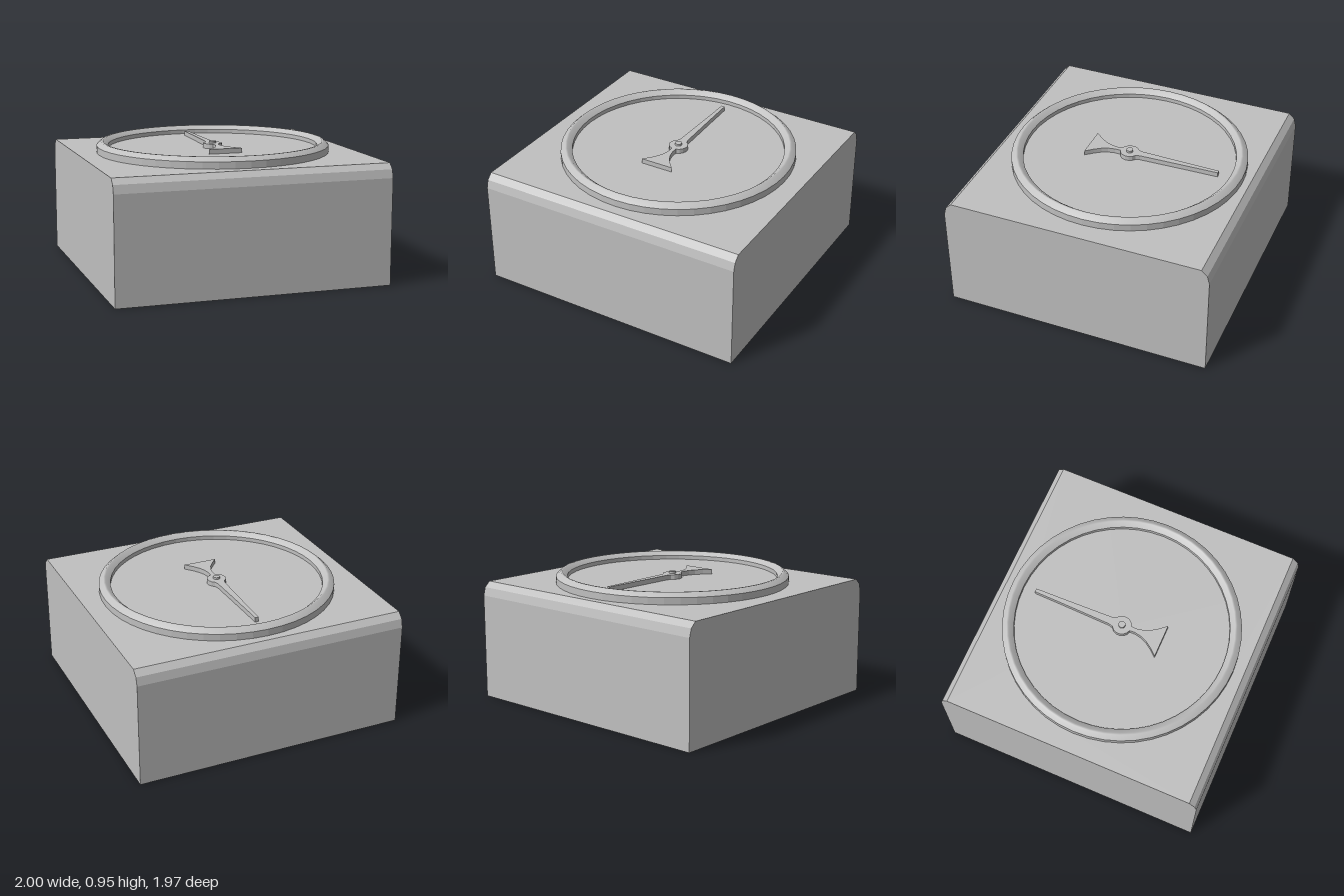
import * as THREE from 'three';

const TOP = 0.87;      // height of the case top
const DIAL = 0.89;     // height of the dial plate
const DEPTH = 0.983;   // half depth of the case
const R_OUT = 0.86, R_IN = 0.775;
const CZ = -0.012;     // dial centre on z
const SEG = 48;

export function createModel() {
  const group = new THREE.Group();
  group.name = 'dialScale';
  const grey = new THREE.MeshStandardMaterial({ color: 0xc0c0c0, side: THREE.DoubleSide });
  grey.name = 'plain grey';

  const add = (name, geometry, parent = group) => {
    const mesh = new THREE.Mesh(geometry, grey);
    mesh.name = name;
    parent.add(mesh);
    return mesh;
  };
  const flat = (geometry) => {
    const g = geometry.index ? geometry.toNonIndexed() : geometry;
    g.computeVertexNormals();
    return g;
  };
  const lathe = (points) =>
    new THREE.LatheGeometry(points.map(([r, y]) => new THREE.Vector2(r, y)), SEG);

  // Case: front and back walls with a bevelled upper edge, open underneath
  const profile = [[DEPTH, 0], [DEPTH, 0.77], [0.967, 0.83], [0.925, TOP]];
  const strip = [];
  for (let i = 0; i < profile.length - 1; i++) {
    const [za, ya] = profile[i], [zb, yb] = profile[i + 1];
    strip.push(-1, ya, za, 1, ya, za, 1, yb, zb, -1, ya, za, 1, yb, zb, -1, yb, zb);
  }
  const wall = new THREE.BufferGeometry();
  wall.setAttribute('position', new THREE.Float32BufferAttribute(strip, 3));
  wall.computeVertexNormals();
  add('frontWall', wall);
  add('backWall', wall).rotation.y = Math.PI;

  // Case ends
  const outline = [...profile, ...profile.map(([z, y]) => [-z, y]).reverse()];
  const end = new THREE.ShapeGeometry(
    new THREE.Shape(outline.map(([z, y]) => new THREE.Vector2(z, y))));
  for (const side of [-1, 1]) {
    const panel = add(side > 0 ? 'leftWall' : 'rightWall', end);
    panel.rotation.y = side * Math.PI / 2;
    panel.position.x = side;
  }

  // Case top with a round opening below the dial
  const zEdge = profile[3][0];
  const top = new THREE.Shape([[-1, -zEdge], [1, -zEdge], [1, zEdge], [-1, zEdge]]
    .map(([x, y]) => new THREE.Vector2(x, y)));
  const hole = new THREE.Path();
  hole.absarc(0, -CZ, R_OUT, 0, Math.PI * 2, true);
  top.holes.push(hole);
  const lid = add('caseTop', new THREE.ShapeGeometry(top, SEG / 2));
  lid.rotation.x = -Math.PI / 2;
  lid.position.y = TOP;

  // Dial: raised rim with rounded crown, and the plate inside it
  const dial = new THREE.Group();
  dial.name = 'dial';
  dial.position.z = CZ;
  group.add(dial);
  add('rimOuterWall', flat(lathe([[R_OUT, TOP], [R_OUT, 0.92]])), dial);
  add('rimCrown', lathe([[R_OUT, 0.92], [0.825, 0.95], [0.81, 0.95], [R_IN, 0.92]]), dial);
  add('rimInnerWall', flat(lathe([[R_IN, 0.92], [R_IN, DIAL]])), dial);
  const plate = add('dialPlate', new THREE.CircleGeometry(R_OUT, SEG), dial);
  plate.rotation.x = -Math.PI / 2;
  plate.position.y = DIAL;

  // Pointer: tapered needle, round hub and flared tail in one outline
  const hubArc = (from, to) => Array.from({ length: 7 }, (_, i) => {
    const a = from + (to - from) * i / 6;
    return [0.07 * Math.sin(a), 0.07 * Math.cos(a)];
  });
  const half = [[0.013, 0.68], [0.018, 0.45], [0.028, 0.09], ...hubArc(0.55, Math.PI - 0.25),
    [0.016, -0.11], [0.026, -0.16], [0.045, -0.205], [0.08, -0.255], [0.125, -0.307]];
  const needle = new THREE.Shape(
    [...half, ...half.map(([x, y]) => [-x, y]).reverse()].map(([x, y]) => new THREE.Vector2(x, y)));
  const pointer = add('pointer',
    new THREE.ExtrudeGeometry(needle, { depth: 0.035, bevelEnabled: false }), dial);
  pointer.rotation.x = -Math.PI / 2;
  pointer.position.y = DIAL;

  // Centre pin
  add('centrePin', new THREE.CylinderGeometry(0.025, 0.025, 0.05, 20), dial)
    .position.y = DIAL + 0.025;

  return group;
}
